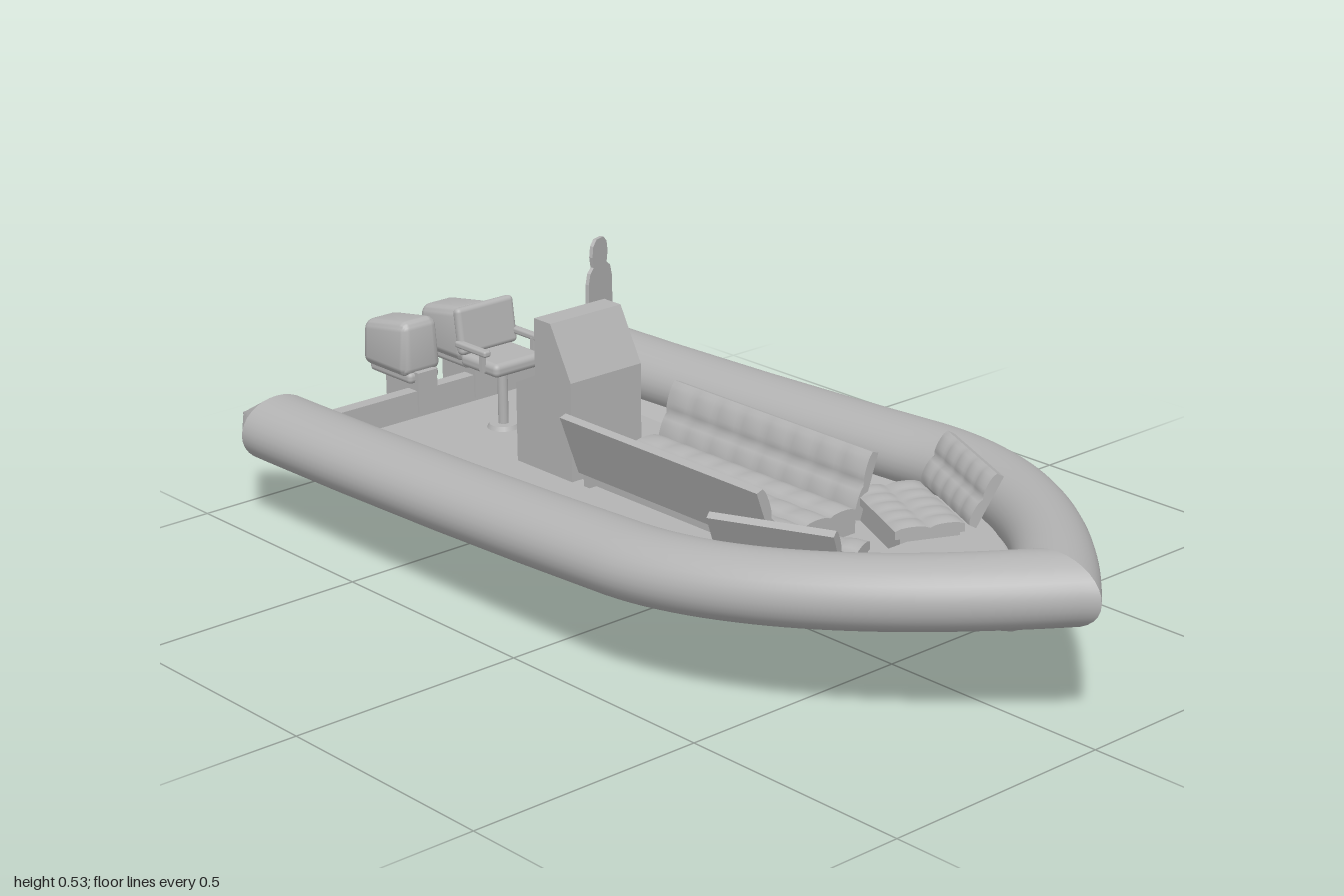
import * as THREE from 'three';
import { toCreasedNormals } from 'three/addons/utils/BufferGeometryUtils.js';
import { RoundedBoxGeometry } from 'three/addons/geometries/RoundedBoxGeometry.js';

const grey = new THREE.MeshStandardMaterial({ color: 0xb3b3b3, side: THREE.DoubleSide });
grey.name = 'plain grey';

const V2 = (x, y) => new THREE.Vector2(x, y);
const V3 = (x, y, z) => new THREE.Vector3(x, y, z);

function add(parent, name, geometry, x = 0, y = 0, z = 0) {
  const mesh = new THREE.Mesh(geometry, grey);
  mesh.name = name;
  mesh.position.set(x, y, z);
  parent.add(mesh);
  return mesh;
}
function addGroup(parent, name, x = 0, y = 0, z = 0) {
  const g = new THREE.Group();
  g.name = name;
  g.position.set(x, y, z);
  parent.add(g);
  return g;
}
const box = (w, h, d) => new THREE.BoxGeometry(w, h, d);
const extrude = (pts, depth) => new THREE.ExtrudeGeometry(
  new THREE.Shape(pts), { depth, bevelEnabled: false });

// Skin through cross-sections that share one point count
function loft(rings, crease) {
  const n = rings[0].length, index = [];
  for (let i = 0; i < rings.length - 1; i++) {
    for (let j = 0; j < n - 1; j++) {
      const a = i * n + j, b = a + n;
      index.push(a, a + 1, b, a + 1, b + 1, b);
    }
  }
  const g = new THREE.BufferGeometry().setFromPoints(rings.flat());
  g.setIndex(index);
  return toCreasedNormals(g, crease);
}

// Plan outlines (x, z) of the inflatable tube, and the rising sheer and keel
const outerCurve = new THREE.CubicBezierCurve(V2(0.2, 0.485), V2(0.51, 0.475), V2(0.79, 0.25), V2(1, 0));
const innerCurve = new THREE.CubicBezierCurve(V2(0.2, 0.305), V2(0.45, 0.305), V2(0.65, 0.165), V2(0.79, 0));
const sheer = x => 0.198 + 0.08 * ((x + 1) / 1.9) ** 1.9;
const keel = x => 0.045 + 0.23 * Math.max(0, x - 0.2) ** 1.32 + 0.35 * Math.max(0, x - 0.8);
const stations = [];
for (const x of [-0.88, -0.83, -0.6, -0.3, -0.05]) stations.push([V2(x, 0.485), V2(x, 0.305)]);
for (let i = 0; i <= 28; i++) stations.push([outerCurve.getPoint(i / 28), innerCurve.getPoint(i / 28)]);
const innerLine = stations.map(s => s[1]);
const centreLine = stations.map(([o, i]) => o.clone().add(i).multiplyScalar(0.5));

function widthAt(line, x) {
  for (let i = 1; i < line.length; i++) {
    if (x <= line[i].x) {
      const a = line[i - 1], b = line[i];
      return a.y + (b.y - a.y) * (x - a.x) / (b.x - a.x);
    }
  }
  return 0;
}

function tubeGeometry() {
  const ring = (o, i, scale) => {
    const c = o.clone().add(i).multiplyScalar(0.5), h = o.clone().sub(i).multiplyScalar(0.5 * scale);
    return Array.from({ length: 33 }, (_, k) => {
      const a = k / 32 * Math.PI * 2;
      return V3(c.x + h.x * Math.cos(a), sheer(c.x) + 0.068 * scale * Math.sin(a), c.y + h.y * Math.cos(a));
    });
  };
  const cone = [[-1, 0.03], [-0.99, 0.1], [-0.94, 0.51]].map(([x, s]) => ring(V2(x, 0.485), V2(x, 0.305), s));
  return loft([...cone, ...stations.map(([o, i]) => ring(o, i, 1))], 0.45);
}

function hullGeometry() {
  const rings = centreLine.slice(1).map(c => {
    const y = sheer(c.x), k = keel(c.x);
    return [-1, -0.5, 0, 0.5, 1].map(s => V3(c.x, k + (y - k) * Math.abs(s), c.y * s));
  });
  return loft(rings, 0.35);
}

// Deck panel fitted inside the tubes and the V of the hull
function deckGeometry(x0, x1, y) {
  const side = [];
  for (let i = 0; i <= 12; i++) {
    const x = x0 + (x1 - x0) * i / 12;
    const hull = widthAt(centreLine, x) * (y - 0.009 - keel(x)) / (sheer(x) - keel(x));
    side.push(V2(x, Math.max(0.002, Math.min(widthAt(innerLine, x) + 0.01, hull))));
  }
  const other = side.map(p => V2(p.x, -p.y)).reverse();
  return extrude([...side, ...other], 0.004).rotateX(Math.PI / 2);
}

// Tufted panel in the local xy plane, its soft bumps facing +z
function cushion(parent, name, w, h, nx, ny) {
  const g = new THREE.BoxGeometry(w, h, 0.024, nx * 6, ny * 6, 1);
  const p = g.attributes.position;
  for (let i = 0; i < p.count; i++) {
    if (p.getZ(i) < 0) continue;
    const u = Math.sin((p.getX(i) / w + 0.5) * nx * Math.PI), v = Math.sin((p.getY(i) / h + 0.5) * ny * Math.PI);
    p.setZ(i, 0.004 + 0.01 * Math.sqrt(Math.abs(v)) * (0.6 + 0.4 * Math.abs(u)));
  }
  g.computeVertexNormals();
  return add(parent, name, g);
}

function outboard(parent, z, turn) {
  const g = addGroup(parent, 'outboardMotor', 0, 0, z);
  // Cowl with rounded edges, sloping to the rear
  const cowl = new RoundedBoxGeometry(0.15, 0.11, 0.1, 3, 0.02);
  const p = cowl.attributes.position;
  for (let i = 0; i < p.count; i++) {
    const x = p.getX(i), y = p.getY(i);
    if (y > 0) p.setY(i, y + x * 0.16);
    p.setX(i, x - Math.max(0, x) * Math.max(0, y) * 2);
    p.setZ(i, p.getZ(i) * (1 - Math.max(0, y) * 2));
  }
  cowl.computeVertexNormals();
  add(g, 'engineCowl', toCreasedNormals(cowl, 0.6), -0.893, 0.303, 0);
  add(g, 'engineTray', new RoundedBoxGeometry(0.14, 0.025, 0.08, 2, 0.01), -0.885, 0.247, 0);
  add(g, 'mountBracket', box(0.06, 0.09, 0.05), -0.835, 0.215, 0);
  add(g, 'driveLeg', extrude([V2(-0.93, 0.25), V2(-0.85, 0.25), V2(-0.855, 0.16),
    V2(-0.865, 0.08), V2(-0.885, 0.035), V2(-0.92, 0.035), V2(-0.93, 0.13)], 0.03), 0, 0, -0.015);
  add(g, 'cavitationPlate', box(0.1, 0.008, 0.06), -0.91, 0.125, 0);
  const pod = new THREE.SphereGeometry(0.022, 16, 10);
  pod.scale(2.4, 1, 1);
  add(g, 'gearCase', pod, -0.905, 0.062, 0);
  const prop = addGroup(g, 'propeller', -0.955, 0.058, 0);
  prop.rotation.x = turn;
  add(prop, 'propellerHub', new THREE.CylinderGeometry(0.013, 0.016, 0.04, 14).rotateZ(Math.PI / 2));
  for (let i = 0; i < 5; i++) {
    const blade = new THREE.SphereGeometry(0.022, 10, 8);
    blade.scale(0.16, 1, 0.65).rotateY(0.6).translate(0, 0.036, 0).rotateX(i * Math.PI * 0.4 + Math.PI);
    add(prop, 'propellerBlade', blade);
  }
}

export function createModel() {
  const boat = new THREE.Group();
  boat.name = 'inflatableBoat';

  // Hull, tubes, transom and decks
  const tube = tubeGeometry();
  add(boat, 'leftTube', tube);
  add(boat, 'rightTube', tube).scale.z = -1;
  add(boat, 'hull', hullGeometry());
  const transom = extrude([V2(0, 0.045), V2(0.34, 0.175), V2(0.34, 0.22), V2(-0.34, 0.22), V2(-0.34, 0.175)], 0.03);
  add(boat, 'transom', transom.rotateY(Math.PI / 2), -0.84, 0, 0);
  add(boat, 'aftDeck', deckGeometry(-0.82, -0.22, 0.162), 0, 0.162, 0);
  add(boat, 'middleDeck', deckGeometry(-0.22, 0.5, 0.178), 0, 0.178, 0);
  add(boat, 'deckStep', box(0.006, 0.018, 0.46), -0.218, 0.168, 0);
  add(boat, 'bowDeck', deckGeometry(0.48, 0.79, 0.225), 0, 0.225, 0);
  add(boat, 'bowStep', box(0.008, 0.05, 0.28), 0.485, 0.199, 0);

  // Outboard motors
  outboard(boat, -0.09, 0.3);
  outboard(boat, 0.062, 0);

  // Steering console
  const helm = addGroup(boat, 'steeringConsole', 0, 0, 0.004);
  add(helm, 'consoleBody', extrude([V2(-0.41, 0.155), V2(-0.3, 0.155), V2(-0.3, 0.37),
    V2(-0.36, 0.48), V2(-0.41, 0.48)], 0.185), 0, 0, -0.0925);
  add(helm, 'consoleShelf', extrude([V2(-0.47, 0.155), V2(-0.41, 0.155), V2(-0.41, 0.36),
    V2(-0.47, 0.33)], 0.185), 0, 0, -0.0925);
  const wheel = addGroup(helm, 'steeringWheel', -0.44, 0.362, 0.015);
  wheel.rotation.z = 0.5;
  add(wheel, 'wheelRim', new THREE.TorusGeometry(0.032, 0.004, 8, 28).rotateX(Math.PI / 2));
  for (let i = 0; i < 3; i++) add(wheel, 'wheelSpoke', box(0.062, 0.004, 0.006)).rotation.y = i * Math.PI / 3;
  add(wheel, 'wheelColumn', new THREE.CylinderGeometry(0.007, 0.007, 0.03, 12), 0, -0.015, 0);
  add(helm, 'throttle', box(0.012, 0.05, 0.012), -0.435, 0.36, -0.06);

  // Helm chair
  const chair = addGroup(boat, 'helmChair', -0.645, 0, -0.01);
  add(chair, 'chairBase', new THREE.CylinderGeometry(0.03, 0.035, 0.01, 20), 0, 0.166, 0);
  add(chair, 'chairPedestal', new THREE.CylinderGeometry(0.011, 0.011, 0.14, 14), 0, 0.23, 0);
  add(chair, 'chairSeat', new RoundedBoxGeometry(0.12, 0.03, 0.13, 3, 0.012), 0, 0.31, 0);
  add(chair, 'chairBack', new RoundedBoxGeometry(0.022, 0.1, 0.15, 3, 0.01), -0.053, 0.372, 0).rotation.z = 0.14;
  for (const s of [-1, 1]) {
    add(chair, 'armrest', new RoundedBoxGeometry(0.1, 0.014, 0.018, 2, 0.005), -0.005, 0.348, s * 0.073);
    add(chair, 'armrestPost', box(0.01, 0.045, 0.01), 0.02, 0.325, s * 0.068);
  }

  // Upright figure-shaped board beside the chair
  const half = [[0.05, 0], [0.05, 0.18], [0.047, 0.29], [0.04, 0.312], [0.026, 0.322],
    [0.031, 0.345], [0.027, 0.368], [0.014, 0.38]];
  const board = extrude([...half.map(([x, y]) => V2(x, y)),
    ...half.map(([x, y]) => V2(-x, y)).reverse()], 0.008);
  add(boat, 'figureBoard', board, -0.597, 0.155, -0.24).rotation.y = -1.25;

  // Central lounge with two facing backrests
  const lounge = addGroup(boat, 'lounge', 0.022, 0, 0.002);
  add(lounge, 'loungeBase', box(0.56, 0.045, 0.2), 0, 0.19, 0);
  const loungeSeat = cushion(lounge, 'loungeSeat', 0.56, 0.2, 8, 3);
  loungeSeat.position.y = 0.222;
  loungeSeat.rotation.x = -Math.PI / 2;
  for (const s of [-1, 1]) {
    const sideGroup = addGroup(lounge, 'loungeSide');
    sideGroup.scale.z = s;
    const back = cushion(sideGroup, 'loungeBackrest', 0.56, 0.135, 8, 2);
    back.position.set(0, 0.267, -0.125);
    back.rotation.x = -0.35;
  }

  // Angled bow seats
  for (const s of [1, -1]) {
    const side = addGroup(boat, s > 0 ? 'rightBowSeat' : 'leftBowSeat');
    side.scale.z = s;
    const seat = addGroup(side, 'bowSeat', 0.415, 0, -0.19);
    seat.rotation.y = -0.43;
    add(seat, 'bowSeatBase', box(0.23, 0.045, 0.12), 0, 0.213, 0.05);
    const pad = cushion(seat, 'bowSeatCushion', 0.23, 0.14, 5, 2);
    pad.position.set(0, 0.243, 0.05);
    pad.rotation.x = -Math.PI / 2;
    const back = cushion(seat, 'bowSeatBackrest', 0.245, 0.11, 5, 2);
    back.position.set(0, 0.292, -0.055);
    back.rotation.x = -0.5;
  }
  return boat;
}
